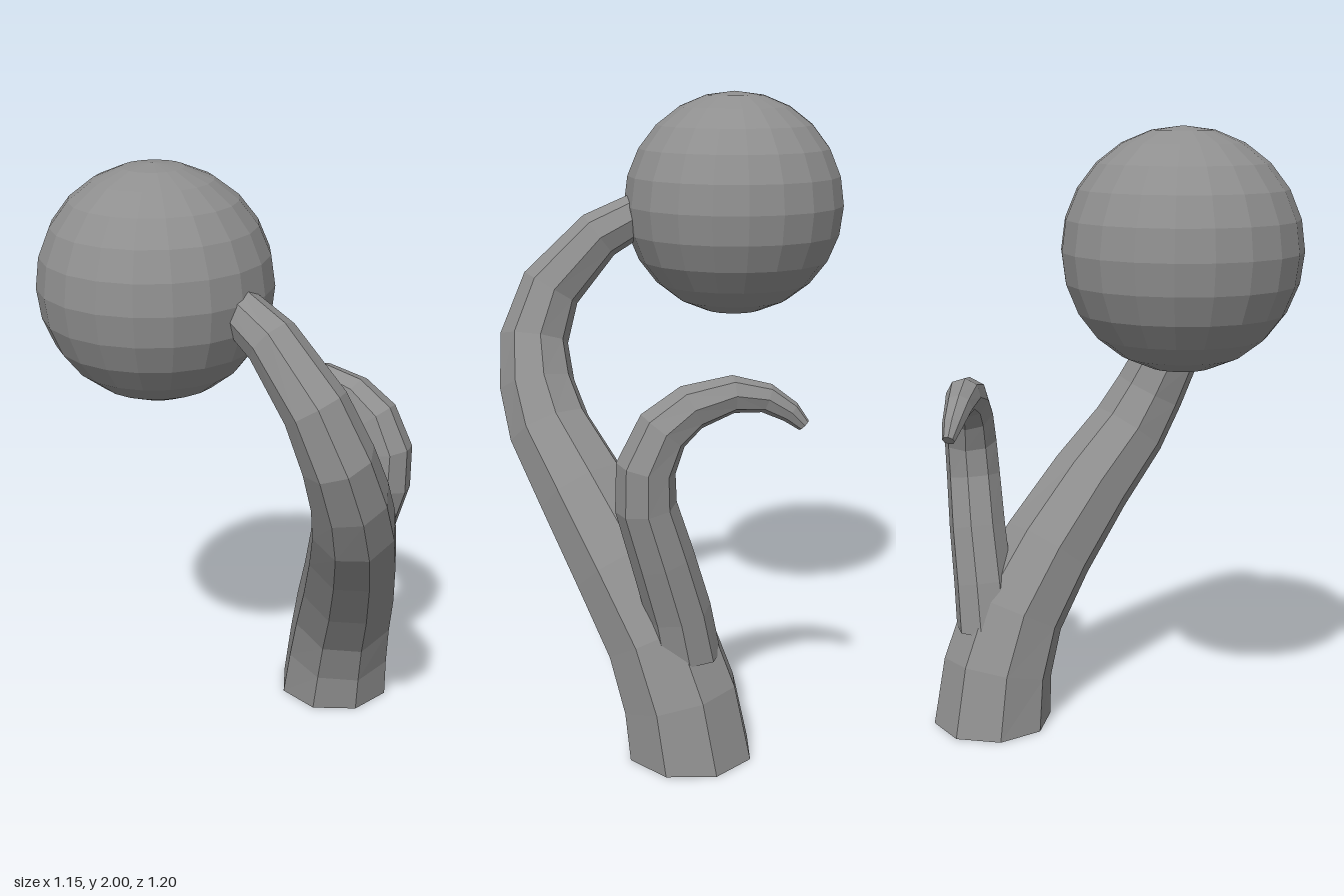
import * as THREE from 'three';

const material = new THREE.MeshStandardMaterial({
  color: 0x8f8f8f, flatShading: true, side: THREE.DoubleSide,
});

// Faceted tapering tube through stations [x, y, z, radius], open at the root, capped at the tip.
function taperedTube(stations, sides, startAngle) {
  const centres = stations.map(([x, y, z]) => new THREE.Vector3(x, y, z));
  const last = centres.length - 1;
  const side = new THREE.Vector3(Math.cos(startAngle), 0, Math.sin(startAngle));
  const positions = [];
  const index = [];
  const previous = new THREE.Vector3(0, 1, 0);
  centres.forEach((c, i) => {
    // the first ring lies level, the others square to the path
    const tangent = new THREE.Vector3(0, 1, 0);
    if (i > 0) {
      const before = c.clone().sub(centres[i - 1]).normalize();
      const after = i < last ? centres[i + 1].clone().sub(c).normalize() : before;
      tangent.copy(before).add(after).normalize();
    }
    side.applyQuaternion(new THREE.Quaternion().setFromUnitVectors(previous, tangent));
    previous.copy(tangent);
    const up = new THREE.Vector3().crossVectors(tangent, side);
    for (let k = 0; k < sides; k++) {
      const a = (k / sides) * Math.PI * 2;
      const p = c.clone()
        .addScaledVector(side, Math.cos(a) * stations[i][3])
        .addScaledVector(up, Math.sin(a) * stations[i][3]);
      positions.push(p.x, p.y, p.z);
    }
  });
  for (let i = 0; i < last; i++) {
    for (let k = 0; k < sides; k++) {
      const a = i * sides + k;
      const b = i * sides + (k + 1) % sides;
      index.push(a, b + sides, b, a, a + sides, b + sides);
    }
  }
  // tip cap
  const top = last * sides;
  for (let k = 1; k < sides - 1; k++) index.push(top, top + k + 1, top + k);
  // rings run clockwise seen from the tip, so corners are listed in reverse
  for (let i = 0; i < index.length; i += 3) {
    [index[i + 1], index[i + 2]] = [index[i + 2], index[i + 1]];
  }
  const geometry = new THREE.BufferGeometry();
  geometry.setAttribute('position', new THREE.Float32BufferAttribute(positions, 3));
  geometry.setIndex(index);
  const faceted = geometry.toNonIndexed();
  faceted.computeVertexNormals();
  return faceted;
}

export function createModel() {
  const group = new THREE.Group();
  const add = (name, geometry) => {
    const mesh = new THREE.Mesh(geometry, material);
    mesh.name = name;
    group.add(mesh);
    return mesh;
  };

  // Curving trunk, its thin end buried in the crown
  add('trunk', taperedTube([
    [0, 0, -0.41, 0.2],
    [0.03, 0.18, -0.393, 0.188],
    [0.088, 0.36, -0.345, 0.177],
    [0.195, 0.56, -0.24, 0.165],
    [0.315, 0.77, -0.105, 0.15],
    [0.415, 0.94, 0.02, 0.136],
    [0.452, 1.07, 0.09, 0.124],
    [0.458, 1.21, 0.155, 0.113],
    [0.4, 1.37, 0.193, 0.101],
    [0.24, 1.54, 0.205, 0.083],
    [0.05, 1.64, 0.205, 0.065],
  ], 8, THREE.MathUtils.degToRad(27)));

  // Hooked side branch growing from the back of the trunk
  add('branch', taperedTube([
    [0.012, 0.33, -0.425, 0.105],
    [0.04, 0.48, -0.442, 0.1],
    [0.09, 0.66, -0.468, 0.096],
    [0.14, 0.83, -0.488, 0.092],
    [0.14, 0.95, -0.495, 0.089],
    [0.09, 1.06, -0.488, 0.081],
    [0.005, 1.125, -0.475, 0.07],
    [-0.12, 1.158, -0.46, 0.056],
    [-0.22, 1.142, -0.455, 0.044],
    [-0.29, 1.1, -0.46, 0.033],
    [-0.33, 1.06, -0.465, 0.02],
  ], 8, 0));

  // Round crown
  add('crown', new THREE.SphereGeometry(0.365, 20, 12)).position.set(-0.21, 1.635, 0.235);

  return group;
}
